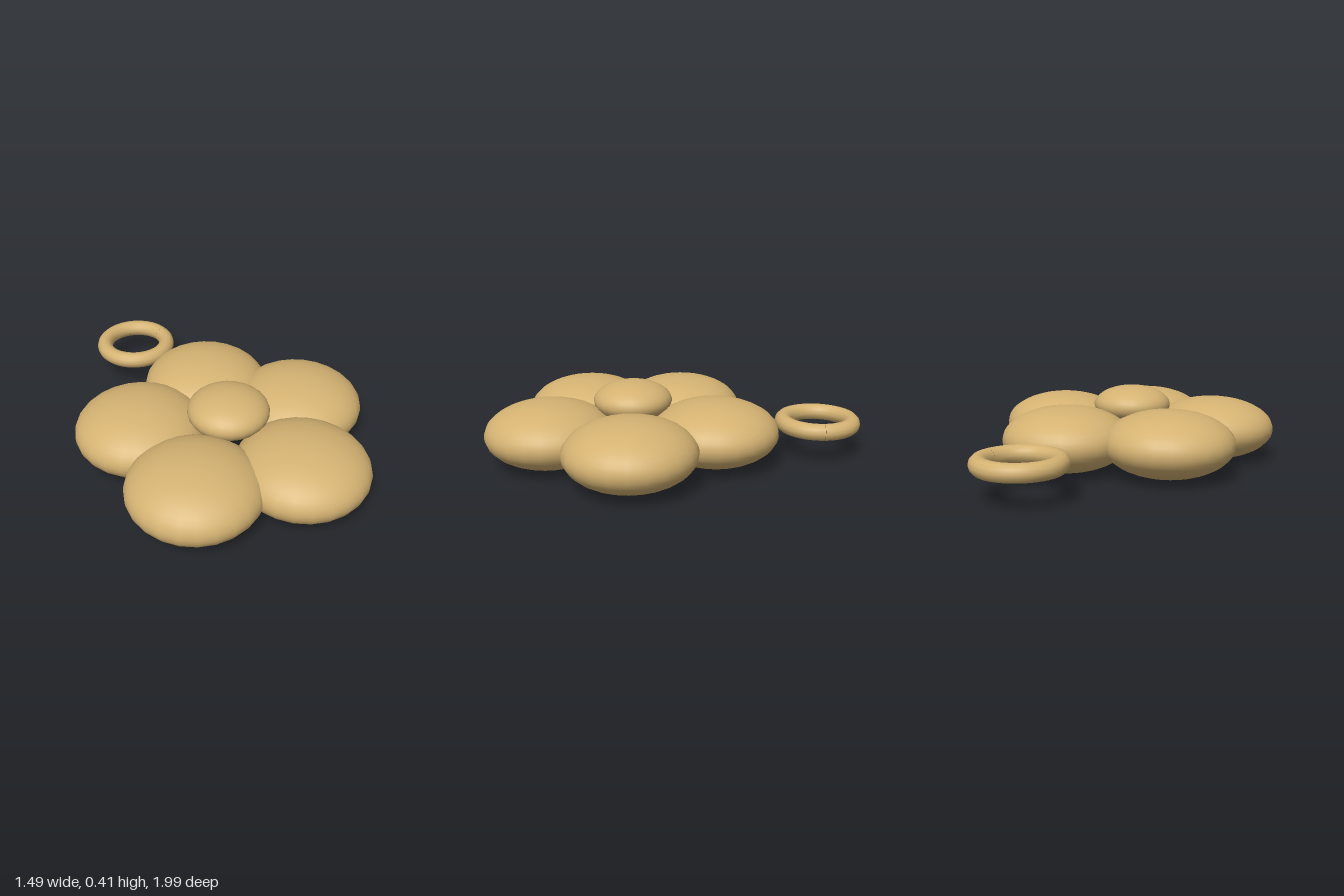
import * as THREE from 'three';

export function createModel() {
  const group = new THREE.Group();
  const gold = new THREE.MeshStandardMaterial({ color: 0xd4b272 });
  gold.name = 'gold';

  const cx = -0.045, cz = 0.227; // flower centre

  // Flattened ball, used for the petals and the centre
  const ball = new THREE.SphereGeometry(1, 24, 24);
  const addBall = (name, x, y, z, radius, halfHeight, turn) => {
    const mesh = new THREE.Mesh(ball, gold);
    mesh.name = name;
    mesh.position.set(x, y, z);
    mesh.scale.set(radius, halfHeight, radius);
    mesh.rotation.y = -turn;
    group.add(mesh);
  };

  // Five overlapping petals in a circle
  for (let i = 0; i < 5; i++) {
    const a = (i * Math.PI * 2) / 5;
    addBall('petal' + (i + 1), cx + 0.452 * Math.cos(a), 0.171, cz + 0.452 * Math.sin(a), 0.336, 0.169, 0);
  }

  // Raised flower centre
  addBall('flowerCentre', cx, 0.305, cz, 0.209, 0.105, 0);

  // Hanging ring lying flat behind the flower, with a hairline split at +x
  const ring = new THREE.Mesh(new THREE.TorusGeometry(0.184, 0.045, 12, 48, 6.28), gold);
  ring.name = 'hangingRing';
  ring.rotation.x = Math.PI / 2;
  ring.position.set(cx, 0.175, -0.771);
  group.add(ring);

  return group;
}
